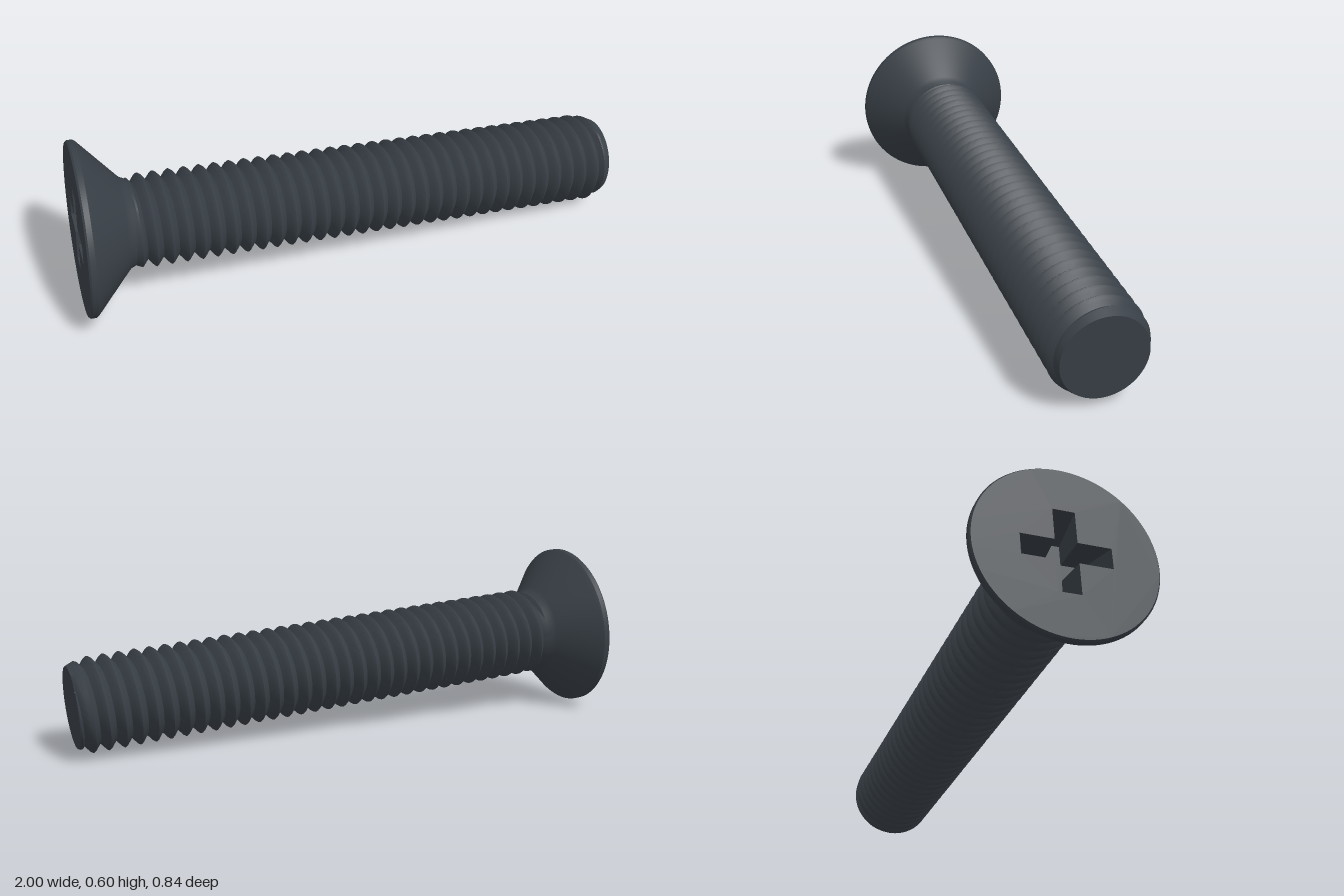
import * as THREE from 'three';
import { toCreasedNormals } from 'three/addons/utils/BufferGeometryUtils.js';

const LENGTH = 1.955;      // head face to tip, along local +y
const HEAD_R = 0.3;
const CREST_R = 0.163, ROOT_R = 0.134, TIP_R = 0.14;
const PITCH = 0.0533;
const THREAD_START = 0.17, CHAMFER = 0.05;

const V2 = (x, y) => new THREE.Vector2(x, y);
const lathe = (pts, crease = 0.5) =>
  toCreasedNormals(new THREE.LatheGeometry(pts.map(p => V2(...p)), 96), crease);

// Outline of a plus sign, counter-clockwise: arm length l, half width w
function crossPoints(l, w) {
  const pts = [];
  for (let k = 0; k < 4; k++) {
    const c = Math.round(Math.cos(k * Math.PI / 2)), s = Math.round(Math.sin(k * Math.PI / 2));
    for (const [x, y] of [[l, -w], [l, w], [w, w]]) pts.push(V2(c * x - s * y, s * x + c * y));
  }
  return pts;
}

// Radius of the threaded shaft at height s and angle t
function threadRadius(s, t) {
  const f = (((s / PITCH - t / (2 * Math.PI)) % 1) + 1) % 1;
  const tri = 1 - Math.abs(2 * f - 1);
  const r = ROOT_R + (CREST_R - ROOT_R) * Math.min(1, tri * 1.12);
  const toTip = (LENGTH - s) / CHAMFER, fromHead = (s - THREAD_START) / 0.04;
  const cap = Math.min(TIP_R + (CREST_R - TIP_R) * toTip, 0.145 + 0.018 * fromHead);
  return s > LENGTH - 1e-6 ? TIP_R : Math.min(r, cap);
}

// Helical thread: each grid row follows the helix and is trimmed at both ends
function threadGeometry() {
  const seg = 72, per = 8;
  const rows = Math.ceil(((LENGTH - THREAD_START) / PITCH + 2) * per);
  const first = Math.floor(THREAD_START / PITCH - 1) * per;
  const pos = [], idx = [];
  for (let j = 0; j <= rows; j++) {
    for (let i = 0; i <= seg; i++) {
      const t = i / seg * Math.PI * 2;
      const s = THREE.MathUtils.clamp(((first + j) / per + i / seg) * PITCH, THREAD_START, LENGTH);
      const r = threadRadius(s, t);
      pos.push(r * Math.cos(t), s, -r * Math.sin(t));
      if (i < seg && j < rows) {
        const a = j * (seg + 1) + i, b = a + 1, c = b + seg + 1, d = a + seg + 1;
        // skip cells collapsed by the trimming
        const s0 = ((first + j) / per + i / seg) * PITCH, s1 = s0 + PITCH * (1 / per + 1 / seg);
        if (s1 > THREAD_START && s0 < LENGTH) idx.push(a, b, c, a, c, d);
      }
    }
  }
  const g = new THREE.BufferGeometry();
  g.setAttribute('position', new THREE.Float32BufferAttribute(pos, 3));
  g.setIndex(idx);
  return toCreasedNormals(g, 0.6);
}

// Tapering walls of the driver recess, facing inward
function recessWalls(top, bottom, depth) {
  const pos = [];
  top.forEach((p, i) => {
    const k = (i + 1) % top.length, p2 = top[k], q = bottom[i], q2 = bottom[k];
    const a = [p.x, 0, p.y], b = [p2.x, 0, p2.y], c = [q2.x, depth, q2.y], d = [q.x, depth, q.y];
    pos.push(...a, ...b, ...c, ...a, ...c, ...d);
  });
  const g = new THREE.BufferGeometry();
  g.setAttribute('position', new THREE.Float32BufferAttribute(pos, 3));
  g.computeVertexNormals();
  return g;
}

export function createModel() {
  const group = new THREE.Group();
  group.name = 'countersunkScrew';
  const steel = new THREE.MeshStandardMaterial({ color: 0x383f46 });
  steel.name = 'blackenedSteel';
  const add = (name, geometry) => {
    const m = new THREE.Mesh(geometry, steel);
    m.name = name;
    group.add(m);
    return m;
  };

  // Conical head with a narrow rim, then the plain neck
  add('head', lathe([[0.295, 0], [HEAD_R, 0.006], [HEAD_R, 0.024], [0.294, 0.032],
    [0.168, 0.148], [0.156, 0.16], [0.15, 0.175], [0.135, 0.195]]));

  // Flat head face with a cross-shaped opening
  const top = crossPoints(0.145, 0.036), bottom = crossPoints(0.095, 0.028), depth = 0.11;
  const face = new THREE.Shape().absarc(0, 0, 0.295, 0, Math.PI * 2);
  face.holes.push(new THREE.Path(top));
  add('headFace', new THREE.ShapeGeometry(face, 48).rotateX(Math.PI / 2));
  add('recessWalls', recessWalls(top, bottom, depth));
  add('recessFloor', new THREE.ShapeGeometry(new THREE.Shape(bottom)).rotateX(Math.PI / 2))
    .position.y = depth;

  // Threaded shaft and its flat tip
  add('threadedShaft', threadGeometry());
  add('tipFace', lathe([[TIP_R, LENGTH], [0, LENGTH]]));

  // Lay the screw down, head toward -x, with one recess arm upright
  const axis = new THREE.Vector3(1.908, -0.132, 0.403).normalize();
  const up = new THREE.Vector3(0, 1, 0).addScaledVector(axis, -axis.y).normalize();
  const side = new THREE.Vector3().crossVectors(axis, up);
  group.quaternion.setFromRotationMatrix(new THREE.Matrix4().makeBasis(side, axis, up));
  group.position.set(-0.938, 0.301, -0.131);
  return group;
}
